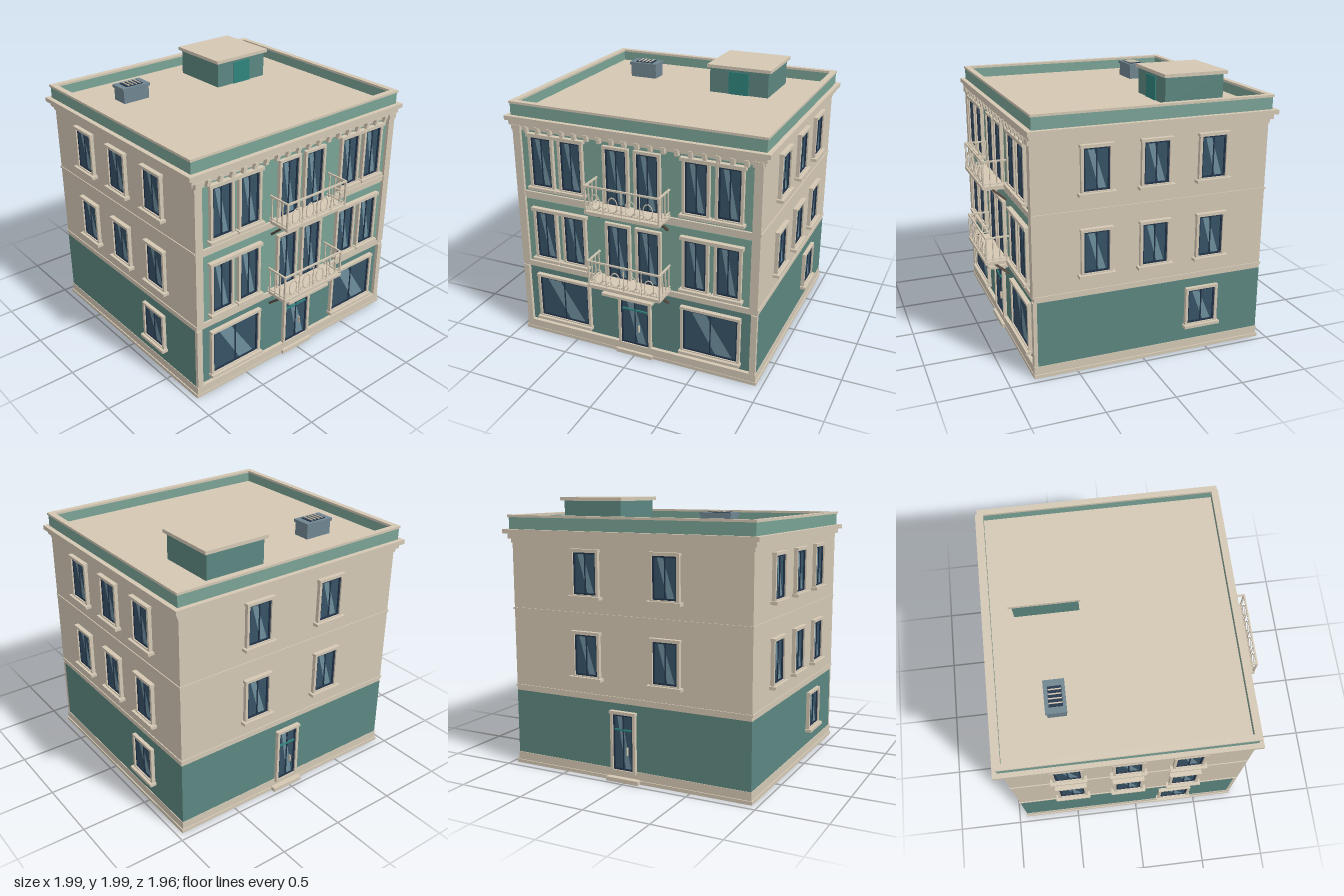
import * as THREE from 'three';

const mat = (color, extra = {}) => new THREE.MeshStandardMaterial({ color, ...extra });
const CREAM = mat(0xd4c8b4), TEAL = mat(0x5c8680), MINT = mat(0x7aa396), NAVY = mat(0x22344a),
  GLASS = mat(0x365265), GLINT = mat(0x6d8e9c, { side: THREE.DoubleSide }), DOOR = mat(0x2f837c),
  IRON = mat(0x5b4f45), STEEL = mat(0x708590);

// Facade planes of the main block
const X = 0.945, FRONT = 0.785, BACK = -0.93;

function add(parent, name, geometry, material) {
  const m = new THREE.Mesh(geometry, material);
  m.name = name;
  parent.add(m);
  return m;
}

// Box given by its limits on each axis
function box(parent, name, material, x0, x1, y0, y1, z0, z1) {
  const m = add(parent, name, new THREE.BoxGeometry(x1 - x0, y1 - y0, z1 - z0), material);
  m.position.set((x0 + x1) / 2, (y0 + y1) / 2, (z0 + z1) / 2);
  return m;
}

// Box running around the whole block, pushed out by a margin
const band = (parent, name, material, y0, y1, out, front = out) =>
  box(parent, name, material, -X - out, X + out, y0, y1, BACK - out, FRONT + front);

function rect(path, x0, x1, y0, y1) {
  path.moveTo(x0, y0); path.lineTo(x1, y0); path.lineTo(x1, y1); path.lineTo(x0, y1); path.closePath();
  return path;
}

// Rectangular ring of thickness t around an opening w by h
function ringGeometry(w, h, t, depth) {
  const s = rect(new THREE.Shape(), -w / 2 - t, w / 2 + t, -h / 2 - t, h / 2 + t);
  s.holes.push(rect(new THREE.Path(), -w / 2, w / 2, -h / 2, h / 2));
  return new THREE.ExtrudeGeometry(s, { depth, bevelEnabled: false });
}

// Glazed opening facing +z, with origin on the wall at ground level
function opening(name, w, y0, y1, { sill = 0.265, crown = 0, door = false } = {}) {
  const g = new THREE.Group(), h = y1 - y0, cy = (y0 + y1) / 2;
  g.name = name;
  add(g, 'surround', ringGeometry(w, h, 0.02, 0.027), CREAM).position.y = cy;
  add(g, 'sash', ringGeometry(w - 0.024, h - 0.024, 0.012, 0.016), NAVY).position.y = cy;
  box(g, 'glass', GLASS, -w / 2, w / 2, y0, y1, -0.01, 0.006);
  box(g, 'mullion', NAVY, -0.004, 0.004, y0, y1, 0, 0.014);
  // Slanted reflection
  const a = w / 2 - 0.012, b = h / 2 - 0.012;
  const s = new THREE.Shape([[-0.75, 1], [-0.2, 1], [0.85, -1], [0.2, -1]].map(([u, v]) => new THREE.Vector2(u * a, v * b)));
  add(g, 'reflection', new THREE.ShapeGeometry(s), GLINT).position.set(0, cy, 0.008);
  if (sill) box(g, 'sill', CREAM, -sill / 2, sill / 2, y0 - 0.03, y0 - 0.008, 0, 0.048);
  if (crown) box(g, 'crown', CREAM, -crown / 2, crown / 2, y1 + 0.004, y1 + 0.024, 0, 0.034);
  if (door) {
    box(g, 'transom', DOOR, -w / 2 + 0.01, w / 2 - 0.01, y0 + h * 0.71, y0 + h * 0.71 + 0.012, 0, 0.017);
    box(g, 'handle', CREAM, 0.03, 0.036, y0 + h * 0.28, y0 + h * 0.42, 0.005, 0.025);
  }
  return g;
}

// Put an opening on one side of the building
function place(parent, side, u, g) {
  const [x, z, r] = {
    front: [u, FRONT + 0.005, 0], back: [u, BACK, Math.PI],
    right: [X, u, Math.PI / 2], left: [-X, u, -Math.PI / 2],
  }[side];
  g.position.set(x, 0, z);
  g.rotation.y = r;
  parent.add(g);
}

// Balcony with ornamental railing; y is the slab underside
function balcony(y) {
  const g = new THREE.Group(), z1 = 0.965, w = 0.28;
  g.name = 'balcony';
  box(g, 'slab', CREAM, -0.287, 0.287, y + 0.012, y + 0.035, FRONT, 0.975);
  box(g, 'slabTrim', CREAM, -0.27, 0.27, y, y + 0.012, FRONT, 0.96);
  const top = y + 0.22, low = y + 0.052;
  for (const [h, t] of [[top, 0.006], [low, 0.003]]) {
    box(g, 'frontRail', CREAM, -w - 0.006, w + 0.006, h - t, h + t, z1 - 0.006, z1 + 0.006);
    for (const s of [-1, 1]) box(g, 'sideRail', CREAM, s * w - 0.006, s * w + 0.006, h - t, h + t, FRONT, z1);
  }
  const post = (x, z, r) => box(g, 'baluster', CREAM, x - r, x + r, y + 0.03, top, z - r, z + r);
  for (let i = 0; i <= 4; i++) post(-w + i * w / 2, z1, i % 4 ? 0.003 : 0.006);
  for (const s of [-1, 1]) for (const z of [0.81, 0.865, 0.915]) post(s * w, z, 0.004);
  // Oval rings with small scrolls at the foot
  for (let i = 0; i < 4; i++) {
    const x = -0.2 + i * 0.4 / 3;
    const ring = add(g, 'ovalOrnament', new THREE.TorusGeometry(0.036, 0.0035, 6, 24), CREAM);
    ring.scale.y = 1.5;
    ring.position.set(x, y + 0.11, z1);
    for (const s of [-1, 1]) {
      const scroll = add(g, 'scroll', new THREE.TorusGeometry(0.014, 0.003, 6, 14), CREAM);
      scroll.position.set(x + s * 0.046, y + 0.068, z1);
    }
  }
  // Diagonal supports
  for (const s of [-1, 1]) {
    const strut = add(g, 'strut', new THREE.BoxGeometry(0.016, 0.016, 0.135), IRON);
    strut.position.set(s * 0.268, y - 0.037, 0.85);
    strut.rotation.x = -0.72;
  }
  return g;
}

export function createModel() {
  const root = new THREE.Group();
  root.name = 'building';

  // Main block, plinth and string courses
  band(root, 'base', CREAM, 0, 0.025, 0.012, 0.032);
  band(root, 'plinth', CREAM, 0.025, 0.085, 0.004, 0.028);
  band(root, 'groundFloor', TEAL, 0.085, 0.565, 0);
  band(root, 'upperFloors', CREAM, 0.565, 1.725, 0);
  for (const y of [0.565, 1.145]) {
    band(root, 'stringLedge', CREAM, y + 0.03, y + 0.045, 0.007, 0.022);
    box(root, 'frontBelt', CREAM, -X, X, y, y + 0.03, FRONT, 0.803);
    box(root, 'frontPanel', MINT, -0.89, 0.89, y + 0.045, y + 0.56, FRONT, 0.79);
  }
  for (const s of [-1, 1]) {
    const a = s * X, at = (name, inner, y0, y1, z) =>
      box(root, name, CREAM, Math.min(a, s * inner), Math.max(a, s * inner), y0, y1, FRONT, z);
    at('cornerPilasterLower', 0.9, 0.085, 0.565, 0.812);
    at('cornerPilasterUpper', 0.885, 0.595, 1.70, 0.812);
    at('pilasterCapital', 0.875, 1.66, 1.70, 0.825);
  }

  // Cornice with brackets
  band(root, 'frieze', CREAM, 1.665, 1.70, 0.008, 0.012);
  band(root, 'corniceMoulding', CREAM, 1.695, 1.73, 0.025, 0.035);
  band(root, 'cornice', CREAM, 1.73, 1.762, 0.05);
  for (let i = 0; i < 18; i++) {
    const x = -0.833 + i * 0.098;
    box(root, 'corniceBracket', CREAM, x - 0.014, x + 0.014, 1.65, 1.70, FRONT, 0.82);
    box(root, 'bracketHead', CREAM, x - 0.014, x + 0.014, 1.675, 1.70, FRONT, 0.828);
  }

  // Parapet with coping around the roof deck
  const cz = (FRONT + BACK) / 2, depth = FRONT - BACK;
  const roofRing = (name, m, out, t, y, h) => {
    const r = add(root, name, ringGeometry(2 * (X + out - t), depth + 2 * (out - t), t, h), m);
    r.rotation.x = -Math.PI / 2;
    r.position.set(0, y, cz);
  };
  roofRing('parapet', MINT, 0.015, 0.03, 1.76, 0.09);
  roofRing('parapetCoping', CREAM, 0.022, 0.044, 1.848, 0.017);
  band(root, 'roofDeck', CREAM, 1.76, 1.772, 0);

  // Stair house on the roof
  box(root, 'stairHouse', TEAL, 0.135, 0.605, 1.77, 1.965, -0.75, -0.29);
  box(root, 'stairHouseRoof', CREAM, 0.115, 0.627, 1.965, 1.99, -0.772, -0.273);
  box(root, 'stairHouseDoor', DOOR, 0.29, 0.45, 1.772, 1.945, -0.3, -0.282);

  // Roof ventilation unit
  box(root, 'ventUnit', STEEL, -0.625, -0.405, 1.77, 1.885, -0.58, -0.45);
  box(root, 'ventLid', STEEL, -0.635, -0.397, 1.87, 1.892, -0.588, -0.442);
  box(root, 'ventGrille', NAVY, -0.59, -0.445, 1.89, 1.896, -0.56, -0.465);
  for (let i = 0; i < 4; i++) {
    const x = -0.565 + i * 0.032;
    box(root, 'ventSlat', CREAM, x - 0.004, x + 0.004, 1.892, 1.903, -0.558, -0.467);
  }

  // Front windows, balcony doors and balconies on both upper floors
  for (const y of [0.67, 1.25]) {
    for (const s of [-1, 1]) {
      for (const x of [0.48, 0.72]) place(root, 'front', s * x, opening('frontWindow', 0.16, y, y + 0.37, { sill: 0.23 }));
      box(root, 'pairLintel', CREAM, s * 0.6 - 0.232, s * 0.6 + 0.232, y + 0.375, y + 0.4, FRONT, 0.826);
      place(root, 'front', s * 0.12, opening('balconyDoor', 0.16, y - 0.05, y + 0.37, { sill: 0 }));
    }
    root.add(balcony(y - 0.08));
  }

  // Street level front
  for (const s of [-1, 1]) place(root, 'front', s * 0.597, opening('shopWindow', 0.415, 0.155, 0.49, { sill: 0.47, crown: 0.455 }));
  place(root, 'front', 0, opening('frontDoor', 0.225, 0.085, 0.49, { sill: 0, door: true }));
  box(root, 'doorCanopy', CREAM, -0.2, 0.2, 0.53, 0.55, FRONT, 0.935);
  box(root, 'doorCanopyTrim', CREAM, -0.185, 0.185, 0.52, 0.53, FRONT, 0.92);
  box(root, 'frontStep', CREAM, -0.147, 0.147, 0, 0.03, FRONT, 0.835);

  // Side and back windows
  for (const [y0, y1] of [[0.74, 1.035], [1.32, 1.615]]) {
    const win = (name) => opening(name, 0.185, y0, y1, { crown: 0.237 });
    for (const side of ['left', 'right'])
      for (const z of [-0.5, -0.07, 0.36]) place(root, side, z, win('sideWindow'));
    for (const x of [-0.315, 0.315]) place(root, 'back', x, win('backWindow'));
  }
  place(root, 'right', -0.45, opening('groundSideWindow', 0.215, 0.22, 0.48, { sill: 0.28 }));
  place(root, 'left', 0.31, opening('groundSideWindow', 0.215, 0.22, 0.48, { sill: 0.28 }));
  place(root, 'back', 0.02, opening('backDoor', 0.16, 0.085, 0.49, { sill: 0, crown: 0.21, door: true }));
  box(root, 'backStep', CREAM, -0.11, 0.15, 0, 0.03, -0.975, BACK);

  return root;
}
